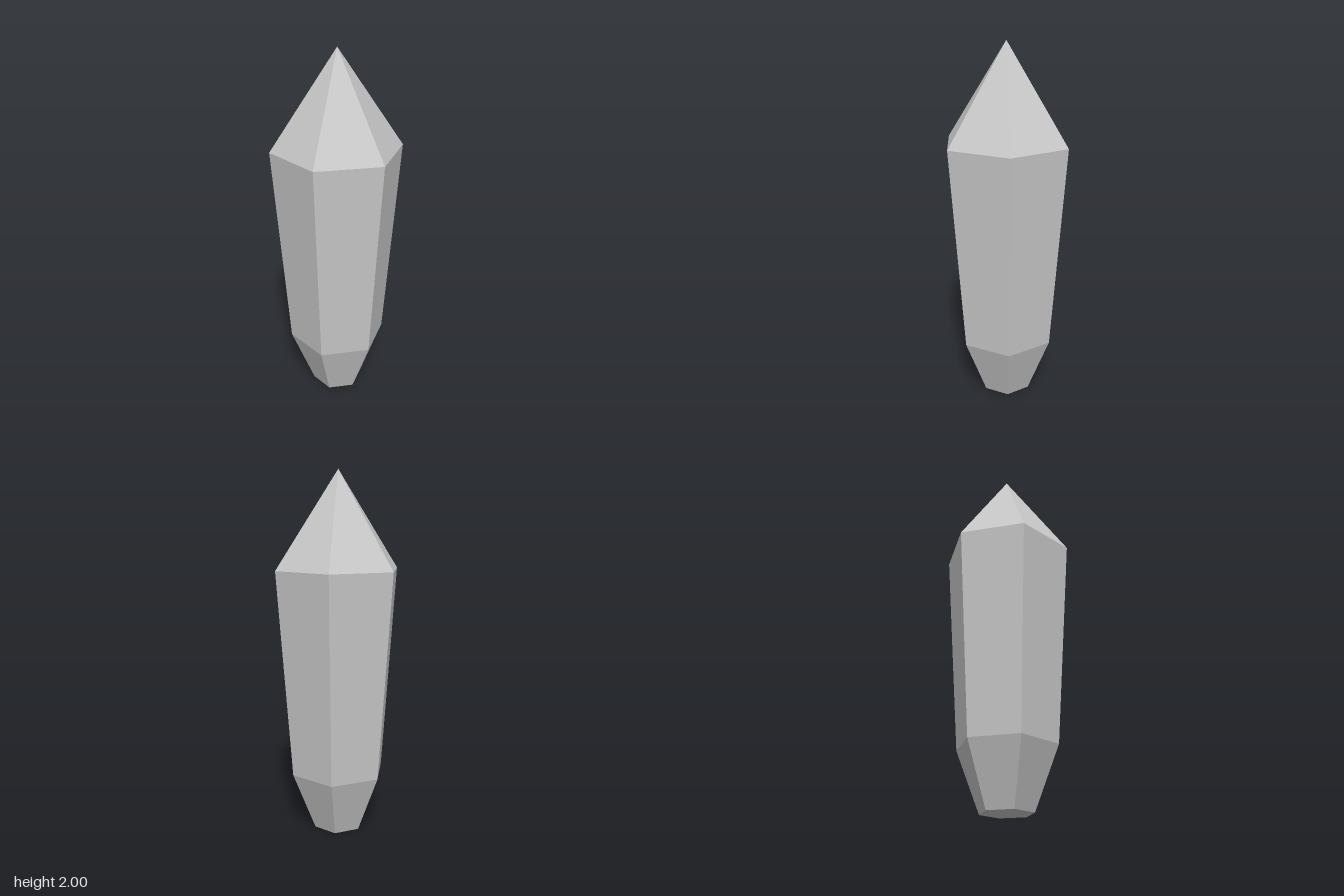
import * as THREE from 'three';

export function createModel() {
  const model = new THREE.Group();
  model.name = 'crystal';
  const crystalGrey = new THREE.MeshStandardMaterial({ color: 0xc8c8c8, flatShading: true });
  crystalGrey.name = 'crystalGrey';

  // One six-sided tapered section, with a corner facing the front
  const addSection = (name, y0, r0, y1, r1) => {
    const geometry = new THREE.CylinderGeometry(r1, r0, y1 - y0, 6, 1, true).toNonIndexed();
    geometry.computeVertexNormals();
    const mesh = new THREE.Mesh(geometry, crystalGrey);
    mesh.name = name;
    mesh.position.y = (y0 + y1) / 2;
    model.add(mesh);
  };

  addSection('taperedFoot', 0, 0.143, 0.333, 0.273);
  addSection('shaft', 0.333, 0.273, 1.475, 0.357);
  addSection('pointedTip', 1.475, 0.357, 2, 0);

  // Flat underside, corners aligned with the foot
  const base = new THREE.Mesh(new THREE.CircleGeometry(0.143, 6, Math.PI / 2), crystalGrey);
  base.name = 'base';
  base.rotation.x = Math.PI / 2;
  model.add(base);

  return model;
}
